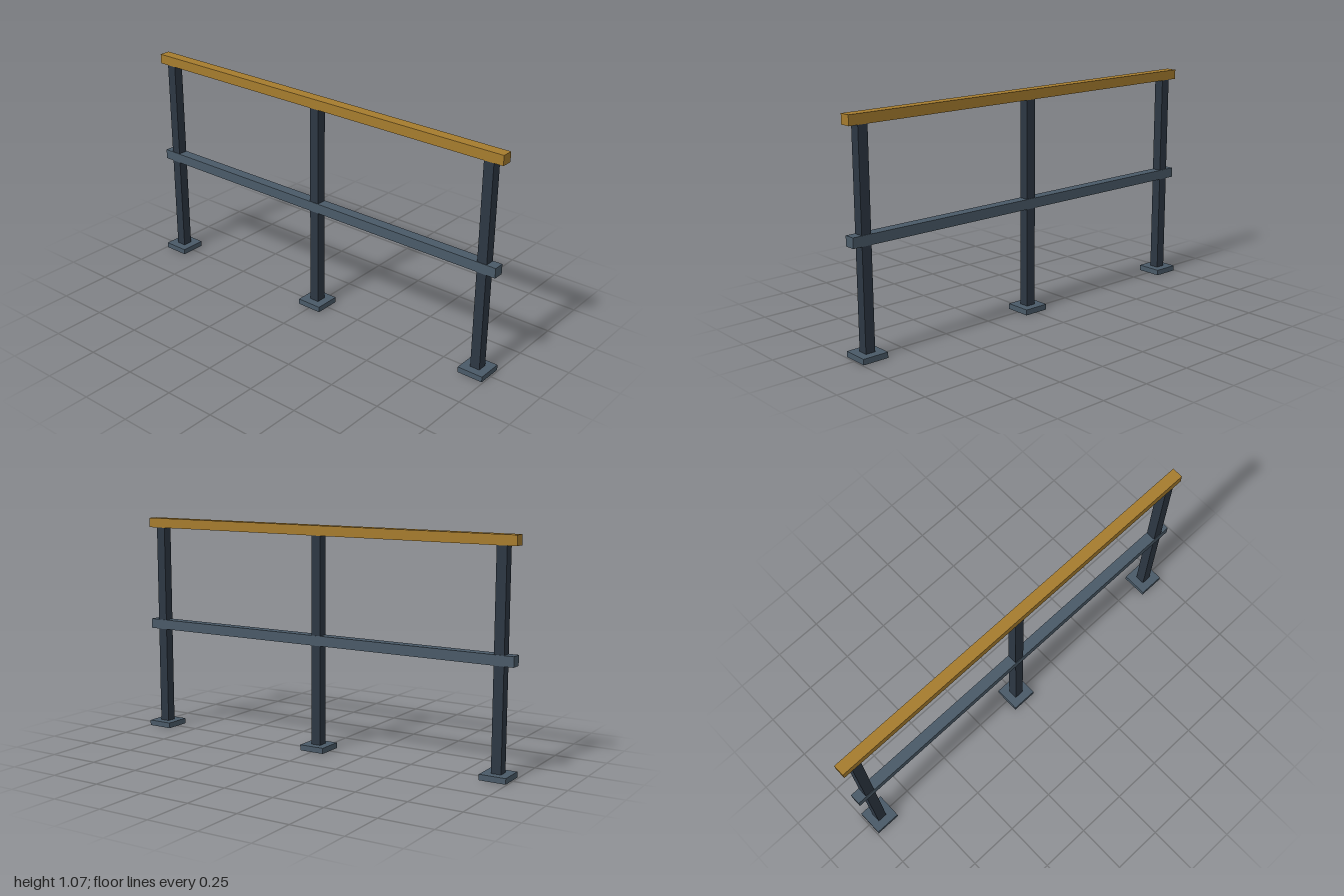
import * as THREE from 'three';

const paint = (name, color) => {
  const m = new THREE.MeshStandardMaterial({ color });
  m.name = name;
  return m;
};

export function createModel() {
  const model = new THREE.Group();
  model.name = 'railing';
  const darkSteel = paint('dark steel', 0x2d3743);
  const greySteel = paint('grey steel', 0x4a5a68);
  const ochre = paint('ochre', 0xa67c2e);

  // Box standing on height y0, reaching y1
  const bar = (name, material, width, depth, y0, y1, x = 0) => {
    const mesh = new THREE.Mesh(new THREE.BoxGeometry(width, y1 - y0, depth), material);
    mesh.name = name;
    mesh.position.set(x, (y0 + y1) / 2, 0);
    model.add(mesh);
  };

  // Three posts on square base plates
  [['right', -0.93], ['middle', 0], ['left', 0.93]].forEach(([side, x]) => {
    bar(`${side}BasePlate`, greySteel, 0.127, 0.127, 0, 0.027, x);
    bar(`${side}Post`, darkSteel, 0.048, 0.048, 0.027, 1.025, x);
  });

  // Horizontal rails
  bar('midRail', greySteel, 2, 0.053, 0.507, 0.555);
  bar('handrail', ochre, 2, 0.054, 1.025, 1.072);

  return model;
}
